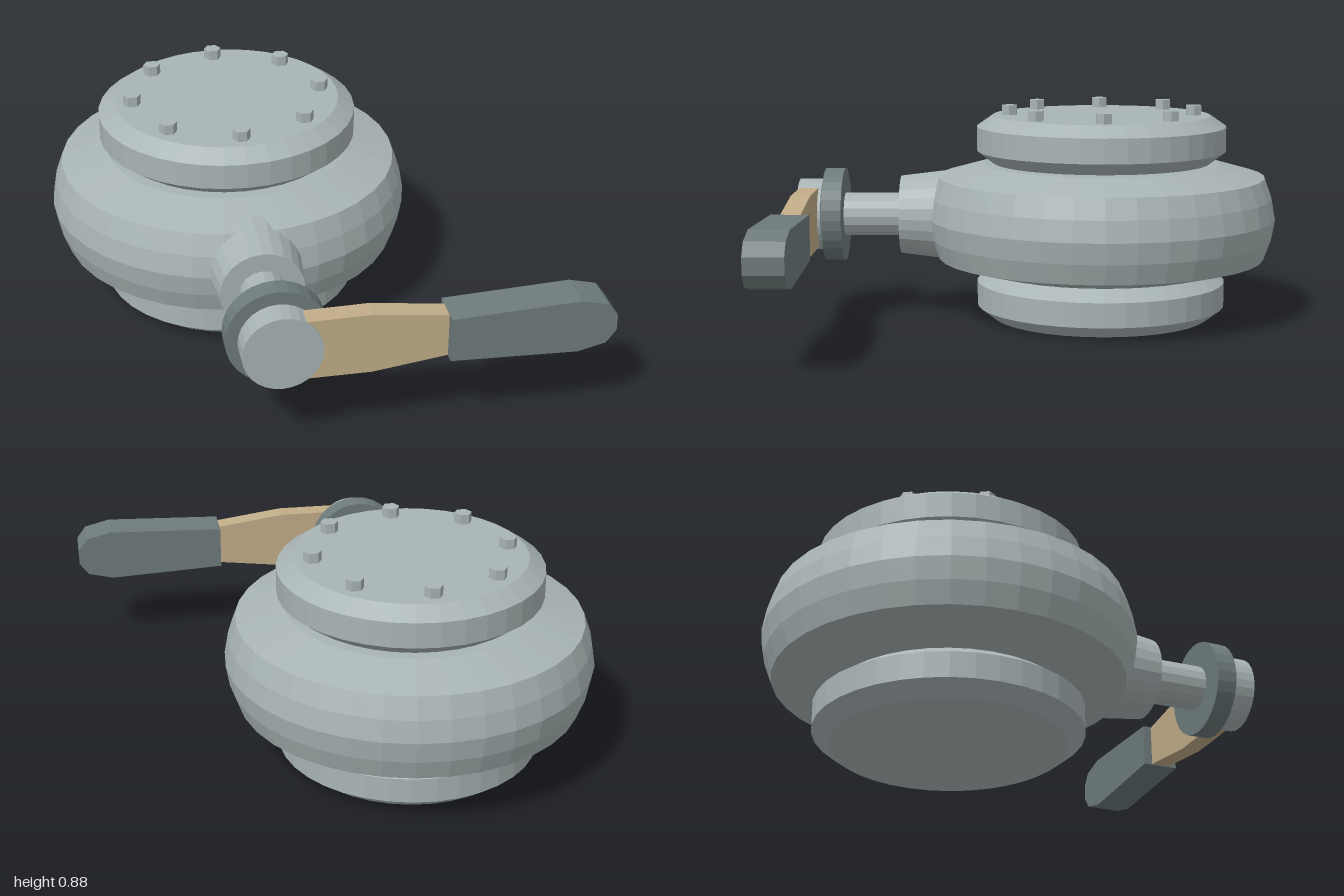
import * as THREE from 'three';

const CX = -0.255, CZ = -0.28, AXLE_Y = 0.423;

function material(name, color) {
  const m = new THREE.MeshStandardMaterial({ color, flatShading: true });
  m.name = name;
  return m;
}

export function createModel() {
  const steel = material('light steel', 0xa9b4b5);
  const dark = material('dark steel', 0x6e7b7c);
  const tan = material('tan', 0xc2ad88);
  const model = new THREE.Group();
  model.name = 'crankMachine';

  function add(parent, name, geometry, mat, x, y, z) {
    const mesh = new THREE.Mesh(geometry, mat);
    mesh.name = name;
    mesh.position.set(x, y, z);
    parent.add(mesh);
    return mesh;
  }
  const lathe = (pts) =>
    new THREE.LatheGeometry(pts.map(([r, y]) => new THREE.Vector2(r, y)), 36);

  // Bulging main housing
  add(model, 'housing', lathe([
    [0, 0.203], [0.49, 0.203], [0.675, 0.252], [0.705, 0.335], [0.72, 0.42],
    [0.705, 0.505], [0.675, 0.588], [0.49, 0.64], [0, 0.64],
  ]), steel, CX, 0, CZ);
  add(model, 'neck', new THREE.CylinderGeometry(0.3, 0.3, 0.5, 24), steel, CX, 0.42, CZ);

  // Two bevelled caps, each with a ring of hex bolts
  const capShape = lathe([
    [0, 0], [0.45, 0], [0.515, 0.05], [0.515, 0.15], [0.45, 0.195], [0, 0.195],
  ]);
  const boltShape = new THREE.CylinderGeometry(0.035, 0.035, 0.05, 6);
  boltShape.rotateY(Math.PI / 6);
  for (const [name, y] of [['bottomCap', 0], ['topCap', 0.645]]) {
    const cap = new THREE.Group();
    cap.name = name;
    cap.position.set(CX, y, CZ);
    add(cap, name + 'Disc', capShape, steel, 0, 0, 0);
    for (let i = 0; i < 8; i++) {
      const a = (i * Math.PI) / 4;
      add(cap, 'bolt', boltShape, steel, 0.38 * Math.cos(a), 0.21, 0.38 * Math.sin(a));
    }
    model.add(cap);
  }

  // Round parts along the crank axle, from back z0 to front z1
  function axlePart(name, r0, r1, z0, z1, sides, mat) {
    const g = new THREE.CylinderGeometry(r1, r0, z1 - z0, sides);
    g.rotateX(Math.PI / 2);
    add(model, name, g, mat, CX, AXLE_Y, (z0 + z1) / 2);
  }
  axlePart('boss', 0.205, 0.162, 0.2, 0.55, 24, steel);
  axlePart('shaft', 0.09, 0.09, 0.5, 0.9, 16, steel);
  axlePart('collar', 0.192, 0.192, 0.783, 0.863, 28, dark);
  axlePart('hub', 0.148, 0.148, 0.873, 0.97, 28, steel);

  // Crank arm and grip: outlines mirrored about the axle height
  function plate(name, half, z0, z1, mat) {
    const pts = [...half, ...half.slice().reverse().map(([x, h]) => [x, -h])];
    const shape = new THREE.Shape(pts.map(([x, h]) => new THREE.Vector2(x, h)));
    const g = new THREE.ExtrudeGeometry(shape, { depth: z1 - z0, bevelEnabled: false });
    add(model, name, g, mat, 0, AXLE_Y, z0);
  }
  plate('crankArm', [[-0.2, 0.12], [0.07, 0.122], [0.36, 0.084]], 0.885, 0.963, tan);
  plate('grip', [[0.35, 0.088], [0.83, 0.108], [0.935, 0.082], [0.972, 0.032]], 0.85, 1.0, dark);

  return model;
}
